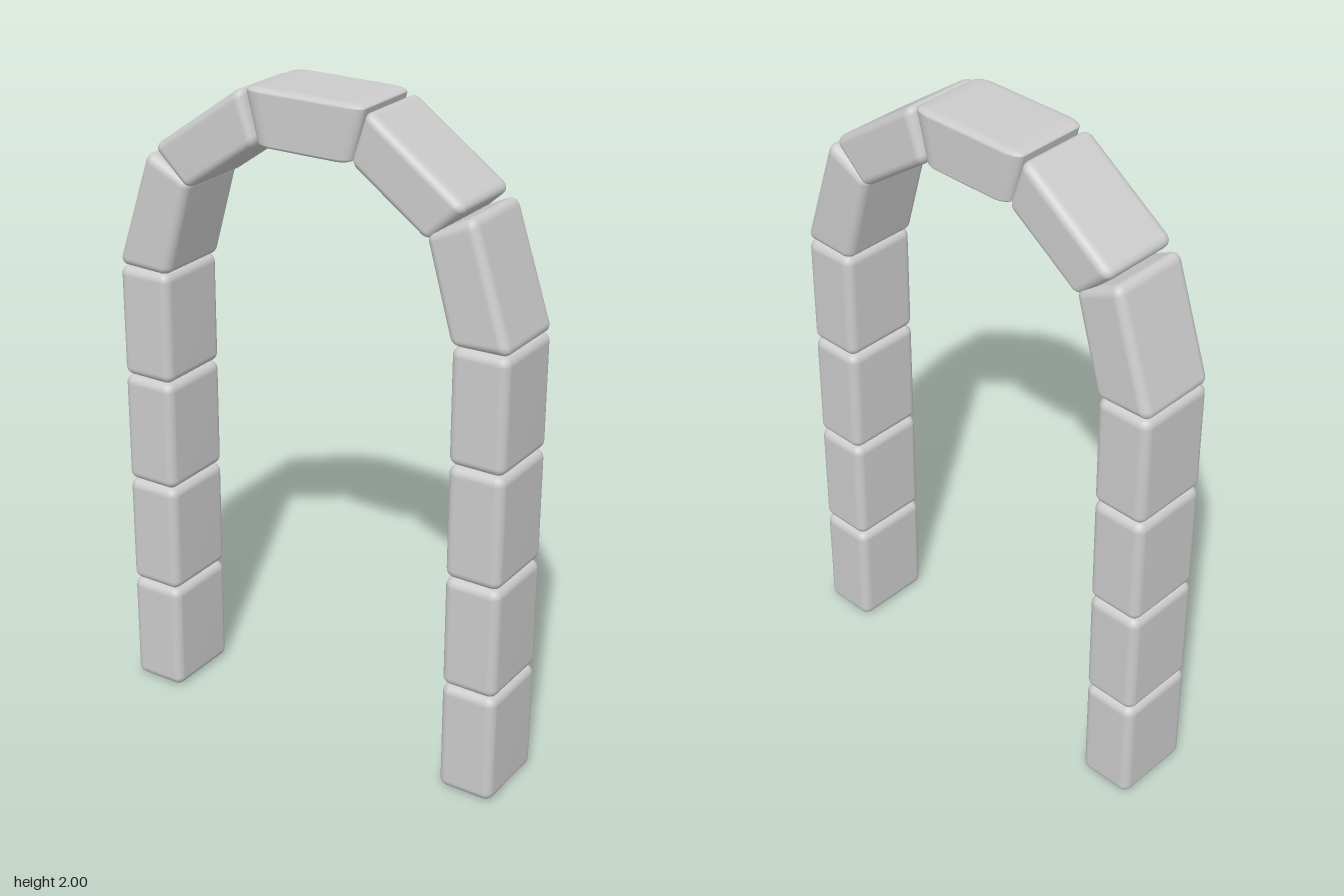
import * as THREE from 'three';
import { RoundedBoxGeometry } from 'three/addons/geometries/RoundedBoxGeometry.js';
import { mergeVertices } from 'three/addons/utils/BufferGeometryUtils.js';

const W = 0.175, H = 0.35, D = 0.256, R = 0.028;

// Rounded stone whose front outline is bent onto four corners:
// bottom inner, bottom outer, top outer, top inner
function stoneGeometry([a, b, c, d]) {
  let geo = new RoundedBoxGeometry(W, H, D, 4, R);
  geo.deleteAttribute('normal');
  geo.deleteAttribute('uv');
  geo = mergeVertices(geo, 1e-5);
  const p = geo.attributes.position;
  for (let i = 0; i < p.count; i++) {
    const u = p.getX(i) / W + 0.5, v = p.getY(i) / H + 0.5;
    const mix = k => (1 - v) * ((1 - u) * a[k] + u * b[k]) + v * ((1 - u) * d[k] + u * c[k]);
    p.setXY(i, mix(0), mix(1));
  }
  geo.computeVertexNormals();
  return geo;
}

export function createModel() {
  const group = new THREE.Group();
  const mat = new THREE.MeshStandardMaterial({ color: 0xcccccc });
  const add = (name, corners) => {
    const mesh = new THREE.Mesh(stoneGeometry(corners), mat);
    mesh.name = name;
    group.add(mesh);
  };
  // Same stone on both sides; mirrored corners are swapped to keep the winding
  const addPair = (name, [a, b, c, d]) => {
    const m = ([x, y]) => [-x, y];
    add(name + 'Left', [a, b, c, d]);
    add(name + 'Right', [m(b), m(a), m(d), m(c)]);
  };

  // Pillars of four stacked blocks
  for (let i = 0; i < 4; i++) {
    const y = i * 0.349;
    addPair('pillarBlock' + (i + 1), [[0.475, y], [0.65, y], [0.65, y + 0.348], [0.475, y + 0.348]]);
  }

  // Curved part of the arch: two wedge stones on each side
  addPair('lowerArchStone', [[0.472, 1.392], [0.656, 1.396], [0.532, 1.762], [0.388, 1.69]]);
  addPair('upperArchStone', [[0.393, 1.668], [0.512, 1.776], [0.202, 1.994], [0.152, 1.838]]);

  // Keystone
  add('keystone', [[-0.15, 1.833], [0.15, 1.833], [0.194, 2], [-0.194, 2]]);
  return group;
}
